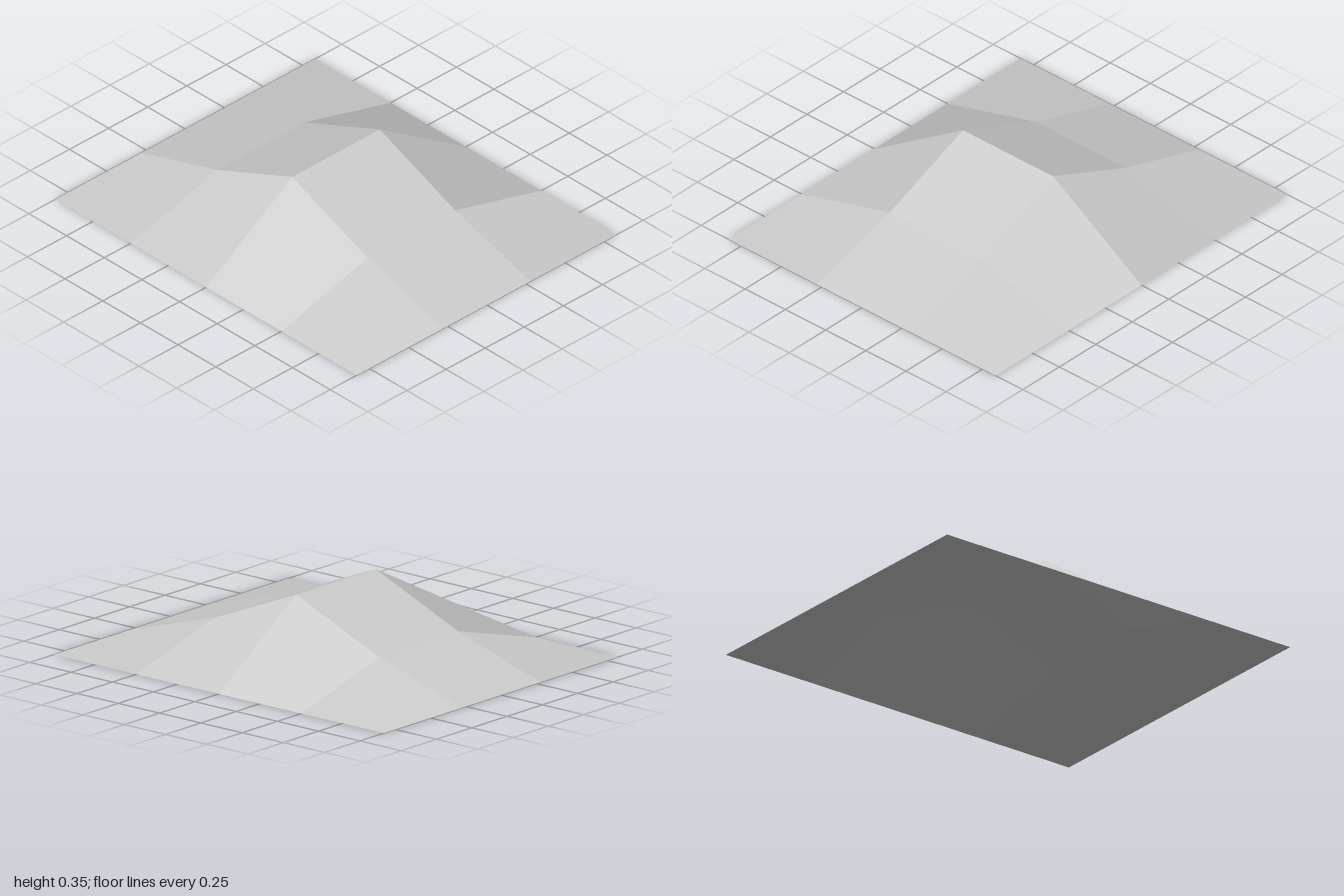
import * as THREE from 'three';

// Faceted hipped canopy: an open sheet of 4 x 3 panels
const XS = [-1, -0.5, 0, 0.5, 1];
const ZS = [-0.83, -0.28, 0.28, 0.83];
const RISE = [0, 0.15, 0.355, 0.15, 0]; // height across the two inner rows

export function createModel() {
  const grey = new THREE.MeshStandardMaterial({ color: 0xcccccc, side: THREE.DoubleSide });
  grey.name = 'light grey';

  const point = (i, j) =>
    new THREE.Vector3(XS[i], j === 1 || j === 2 ? RISE[i] : 0, ZS[j]);

  const positions = [];
  const normals = [];
  for (let j = 0; j < 3; j++) {
    for (let i = 0; i < 4; i++) {
      const a = point(i, j);
      const b = point(i, j + 1);
      const c = point(i + 1, j + 1);
      const d = point(i + 1, j);
      // one shared normal keeps each slightly warped panel evenly shaded
      const n = c.clone().sub(a).cross(d.clone().sub(b)).normalize();
      for (const p of [a, b, d, b, c, d]) {
        positions.push(p.x, p.y, p.z);
        normals.push(n.x, n.y, n.z);
      }
    }
  }

  const geometry = new THREE.BufferGeometry();
  geometry.setAttribute('position', new THREE.Float32BufferAttribute(positions, 3));
  geometry.setAttribute('normal', new THREE.Float32BufferAttribute(normals, 3));

  const roof = new THREE.Mesh(geometry, grey);
  roof.name = 'roofSheet';
  const group = new THREE.Group();
  group.name = 'hippedRoof';
  group.add(roof);
  return group;
}
